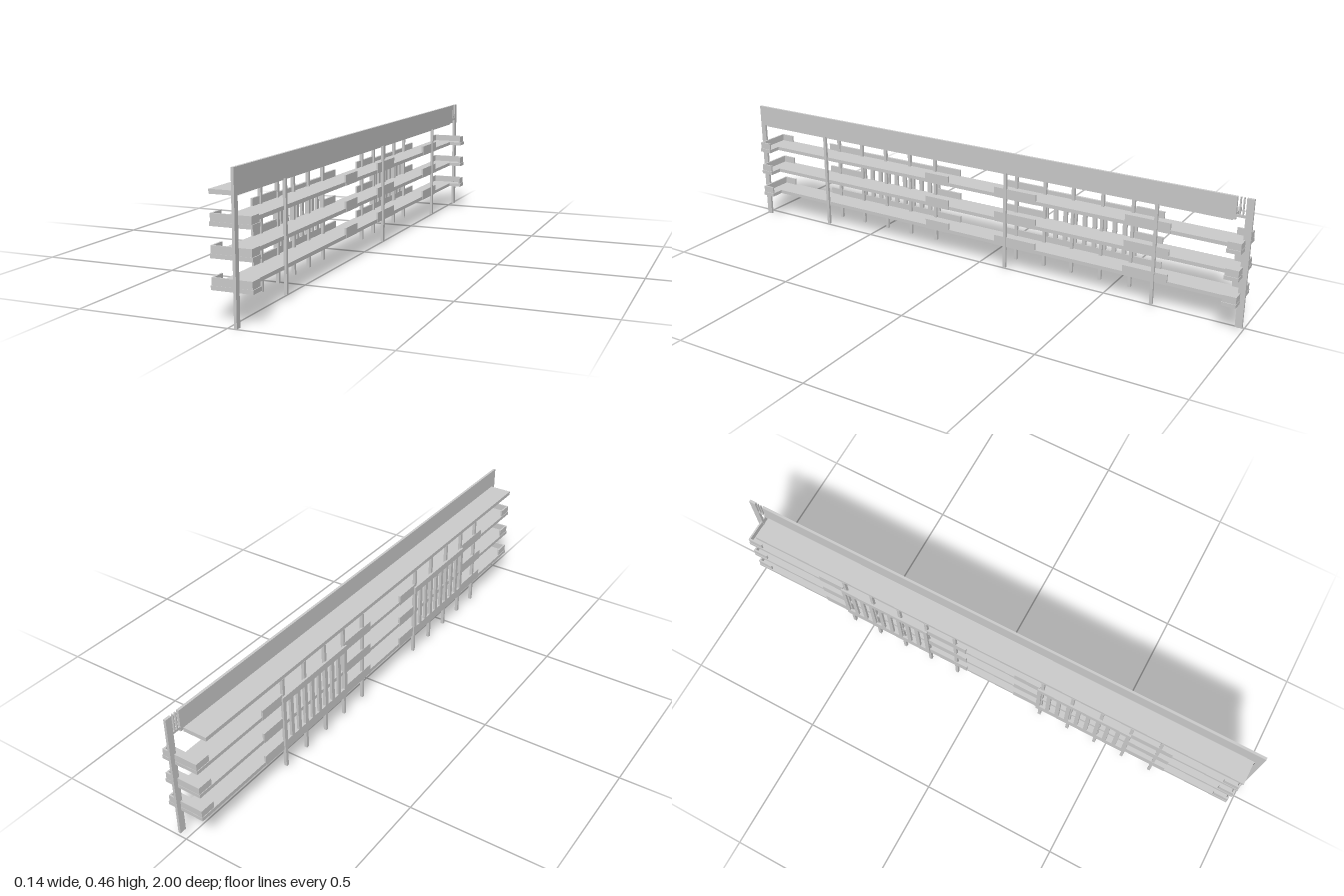
import * as THREE from 'three';

const material = new THREE.MeshStandardMaterial({ color: 0xcccccc, flatShading: true });

export function createModel() {
  const model = new THREE.Group();

  // Box given by its extents on each axis
  function box(name, x0, x1, y0, y1, z0, z1, parent = model) {
    const mesh = new THREE.Mesh(new THREE.BoxGeometry(x1 - x0, y1 - y0, z1 - z0), material);
    mesh.position.set((x0 + x1) / 2, (y0 + y1) / 2, (z0 + z1) / 2);
    mesh.name = name;
    parent.add(mesh);
    return mesh;
  }

  // Roof slab, tall fascia and its end posts
  box('roofSlab', -0.065, 0.022, 0.372, 0.386, -0.935, 0.975);
  box('fascia', 0.021, 0.03, 0.379, 0.455, -0.946, 1);
  box('frontEndPost', 0.021, 0.03, 0, 0.379, 0.98, 1);
  box('backEndPost', 0.021, 0.03, 0.013, 0.455, -1, -0.976);

  // Slotted joint between fascia and back post
  for (const z of [-0.956, -0.967]) box('slotBar', 0.022, 0.029, 0.39, 0.455, z - 0.002, z + 0.002);
  box('slotLink', 0.022, 0.029, 0.388, 0.396, -0.976, -0.946);

  // Floors with parapet pieces and end balconies
  const leftParapets = [[0.12, 0.22], [-0.24, -0.075], [-0.735, -0.575]];
  const rightParapets = [[0.57, 0.73], [0.12, 0.22], [-0.24, -0.075], [-0.68, -0.58]];
  [0.097, 0.189, 0.281].forEach((y, i) => {
    const floor = new THREE.Group();
    floor.name = 'floor' + (i + 1);
    model.add(floor);
    const top = y + 0.013, rail = y + 0.037;
    box('floorSlab', -0.065, 0.022, y, top, -0.985, 0.975, floor);
    for (const [a, b] of leftParapets) box('leftParapet', 0.017, 0.024, y, rail, a, b, floor);
    for (const [a, b] of rightParapets) box('rightParapet', -0.067, -0.06, y, rail, a, b, floor);

    for (const [end, s] of [[0.975, 1], [-0.985, -1]]) {
      const span = (from, to) => [end - s * from, end - s * to].sort((a, b) => a - b);
      box('balconySlab', 0.022, 0.071, y, top, ...span(0, 0.048), floor);
      box('balconyEndRail', -0.063, 0.068, top, rail, ...span(0.001, 0.007), floor);
      box('balconyLeftRail', 0.062, 0.068, top, rail, ...span(0.007, 0.046), floor);
      box('balconyRightRail', -0.063, -0.057, top, rail, ...span(0.007, 0.056), floor);
    }
  });

  // Columns along both long sides
  const rightColumns = [-0.57, -0.457, -0.345, -0.235, -0.12, 0.23, 0.345, 0.457, 0.57, 0.682];
  for (const z of rightColumns) box('rightColumn', -0.066, -0.055, 0.018, 0.373, z - 0.0055, z + 0.0055);
  for (const z of [0.682, -0.12, -0.685]) box('leftColumn', 0.019, 0.029, 0.018, 0.379, z - 0.0055, z + 0.0055);

  // Two screens of vertical bars on the right side
  for (const [z0, z1] of [[-0.585, -0.23], [0.215, 0.575]]) {
    const screen = new THREE.Group();
    screen.name = 'barScreen';
    model.add(screen);
    box('screenBottom', -0.073, -0.064, 0.097, 0.132, z0, z1, screen);
    box('screenTop', -0.073, -0.064, 0.284, 0.308, z0, z1, screen);
    const count = 10, width = 0.015;
    for (let i = 0; i < count; i++) {
      const z = z0 + (z1 - z0 - width) * i / (count - 1);
      box('screenBar', -0.073, -0.064, 0.132, 0.284, z, z + width, screen);
    }
  }
  return model;
}
